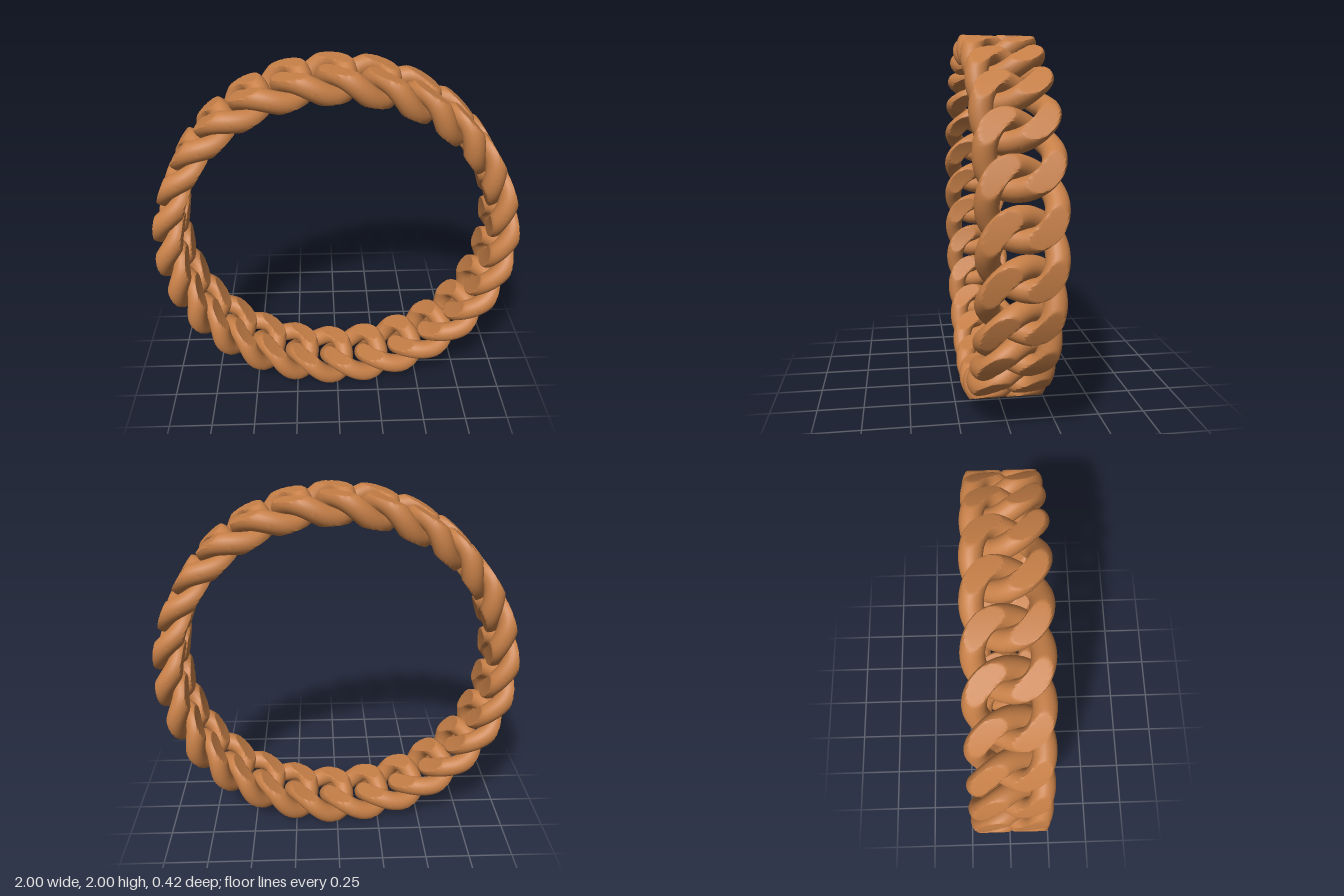
import * as THREE from 'three';
import { toCreasedNormals } from 'three/addons/utils/BufferGeometryUtils.js';

const LINKS = 26;
const INNER = 0.85, OUTER = 1.0;          // radii of the ground faces
const MID = (INNER + OUTER) / 2;
const HALF_LENGTH = 0.163, HALF_WIDTH = 0.155, TWIST = 0.055, WIRE = 0.056;

// Centre line of one twisted curb link, bent around the ring axis (z)
class LinkCurve extends THREE.Curve {
  getPoint(u, target = new THREE.Vector3()) {
    const t = u * Math.PI * 2;
    const angle = (HALF_LENGTH * Math.cos(t)) / MID;
    const radius = MID + TWIST * Math.sin(2 * t);
    return target.set(radius * Math.cos(angle), radius * Math.sin(angle), HALF_WIDTH * Math.sin(t));
  }
}

// Round wire, ground flush with the outer and inner cylinders
function linkGeometry() {
  const geometry = new THREE.TubeGeometry(new LinkCurve(), 108, WIRE, 24, true);
  const pos = geometry.attributes.position;
  for (let i = 0; i < pos.count; i++) {
    const x = pos.getX(i), y = pos.getY(i);
    const r = Math.hypot(x, y);
    const k = THREE.MathUtils.clamp(r, INNER, OUTER) / r;
    pos.setXY(i, x * k, y * k);
  }
  return toCreasedNormals(geometry, 0.5);
}

export function createModel() {
  const ring = new THREE.Group();
  ring.name = 'curbChainRing';
  const material = new THREE.MeshStandardMaterial({ color: 0xc67f47 });
  const geometry = linkGeometry();

  // Identical interlocked links around the circle
  for (let i = 0; i < LINKS; i++) {
    const link = new THREE.Mesh(geometry, material);
    link.name = `chainLink${i + 1}`;
    link.rotation.z = (i / LINKS) * Math.PI * 2;
    link.position.y = OUTER;
    ring.add(link);
  }
  return ring;
}
